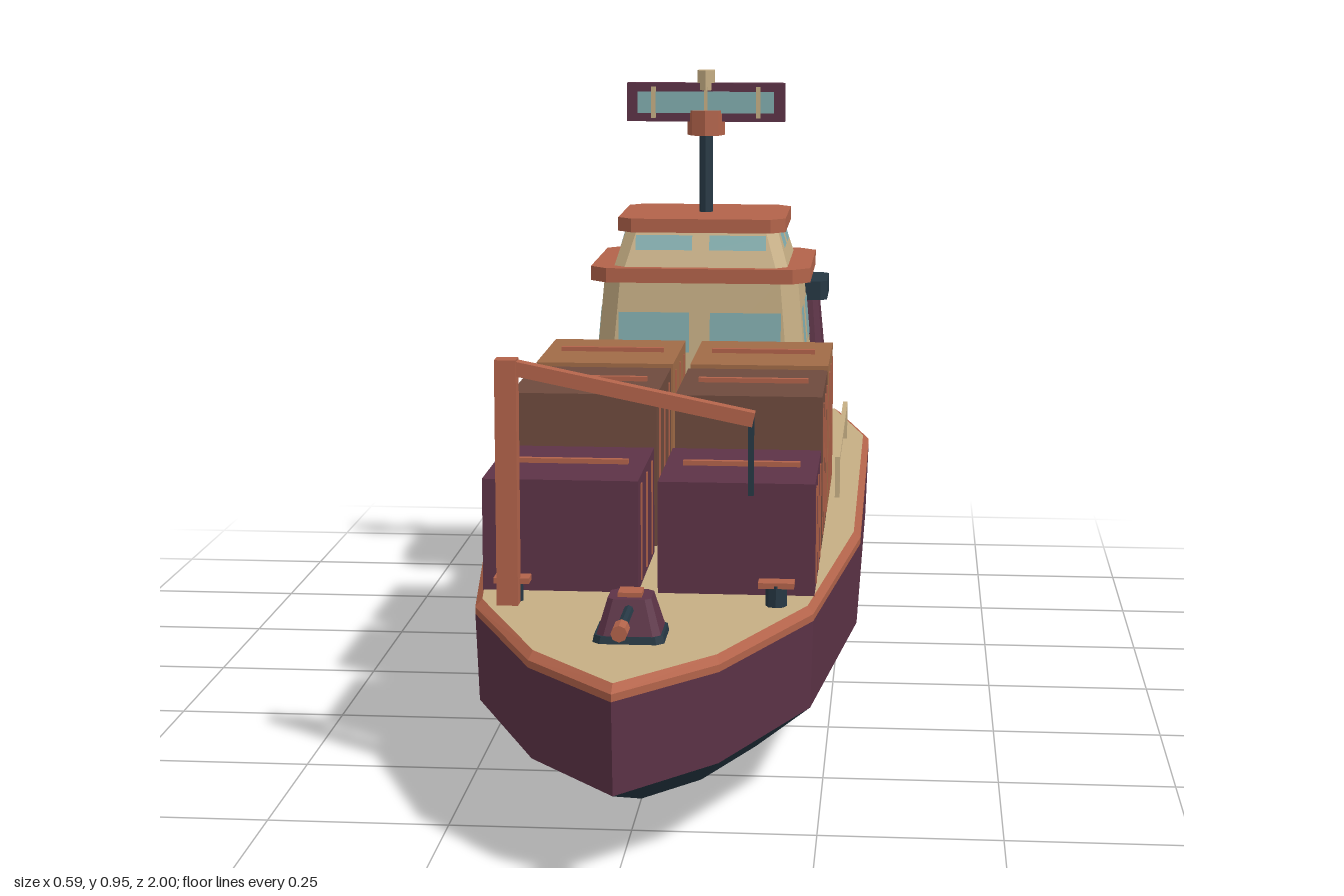
import * as THREE from 'three';

const mat = (name, color, side = THREE.FrontSide) => {
  const m = new THREE.MeshStandardMaterial({ color, flatShading: true, side });
  m.name = name;
  return m;
};

// Flat-shaded loft through horizontal rings; each ring is { y, pts: [[x, z], ...] }
function loft(rings, capBottom = true, capTop = true) {
  const pos = [];
  const v = (r, i) => {
    const p = r.pts[i % r.pts.length];
    return [p[0], r.y, p[1]];
  };
  const n = rings[0].pts.length;
  for (let k = 0; k < rings.length - 1; k++) {
    const lo = rings[k], hi = rings[k + 1];
    for (let i = 0; i < n; i++) {
      pos.push(...v(lo, i), ...v(lo, i + 1), ...v(hi, i + 1));
      pos.push(...v(lo, i), ...v(hi, i + 1), ...v(hi, i));
    }
  }
  const first = rings[0], last = rings[rings.length - 1];
  for (let i = 1; i < n - 1; i++) {
    if (capBottom) pos.push(...v(first, 0), ...v(first, i + 1), ...v(first, i));
    if (capTop) pos.push(...v(last, 0), ...v(last, i), ...v(last, i + 1));
  }
  const g = new THREE.BufferGeometry();
  g.setAttribute('position', new THREE.Float32BufferAttribute(pos, 3));
  g.computeVertexNormals();
  return g;
}

// Rectangle with chamfered corners, as half sizes
const octagon = (hx, hz, c, y) => ({
  y,
  pts: [[hx - c, hz], [hx, hz - c], [hx, c - hz], [hx - c, -hz],
    [c - hx, -hz], [-hx, c - hz], [-hx, hz - c], [c - hx, hz]],
});

export function createModel() {
  const root = new THREE.Group();
  root.name = 'cargoShip';
  const tan = mat('tan', 0xc6ae84);
  const orange = mat('orange', 0xb2634a);
  const purple = mat('purple', 0x5d3347);
  const navy = mat('navy', 0x263844);
  const brown = mat('brown', 0x6e4a3d);
  const rust = mat('rust', 0xa06b47);
  const teal = mat('teal', 0x82adae, THREE.DoubleSide);

  const add = (name, geo, material, x = 0, y = 0, z = 0, parent = root) => {
    const m = new THREE.Mesh(geo, material);
    m.name = name;
    m.position.set(x, y, z);
    parent.add(m);
    return m;
  };
  const box = (name, w, h, d, material, x, y, z, parent) =>
    add(name, new THREE.BoxGeometry(w, h, d), material, x, y, z, parent);
  const group = (name) => {
    const g = new THREE.Group();
    g.name = name;
    root.add(g);
    return g;
  };

  // Hull: one plan outline scaled at each level
  const half = [[0.125, 0.85], [0.237, 0.58], [0.293, 0.1], [0.293, -0.72], [0.23, -1]];
  const outline = [[0, 1], ...half, ...half.map(([x, z]) => [-x, z]).reverse()];
  const level = (y, sx, sz) => ({ y, pts: outline.map(([x, z]) => [x * sx, z * sz]) });
  add('lowerHull', loft([level(0, 0.615, 0.615), level(0.125, 0.985, 0.985)], true, false), navy);
  add('upperHull', loft([level(0.125, 0.985, 0.985), level(0.252, 1, 1)], false, false), purple);
  add('hullRim', loft([level(0.252, 1, 1), level(0.262, 1, 1), level(0.271, 0.965, 0.98)], false, false), orange);
  add('deck', loft([level(0.27, 0.965, 0.98), level(0.271, 0.965, 0.98)], false, true), tan);

  // Cabin, two tapered storeys with overhanging roofs
  const cabin = group('cabin');
  cabin.position.set(0, 0, -0.588);
  const storey = (name, y0, y1, x0, x1, z0, z1, c) => {
    add(name, loft([octagon(x0, z0, c, y0), octagon(x1, z1, c, y1)]), tan, 0, 0, 0, cabin);
    const at = (a, b, y) => a + (b - a) * (y - y0) / (y1 - y0) + 0.002;
    // Window pane lying on the sloped front (axis z) or side (axis x) wall
    return (axis, dir, u0, u1, lo, hi) => {
      const p = (u, y) => axis === 'z' ? [u, y, dir * at(z0, z1, y)] : [dir * at(x0, x1, y), y, u];
      const a = p(u0, lo), b = p(u1, lo), d = p(u1, hi), e = p(u0, hi);
      const flip = (axis === 'z' ? 1 : -1) * dir * (u1 - u0) < 0;
      const tri = flip ? [a, d, b, a, e, d] : [a, b, d, a, d, e];
      const g = new THREE.BufferGeometry();
      g.setAttribute('position', new THREE.Float32BufferAttribute(tri.flat(), 3));
      g.computeVertexNormals();
      add(name + 'Window', g, teal, 0, 0, 0, cabin);
    };
  };
  const lowerPane = storey('lowerCabin', 0.28, 0.59, 0.197, 0.17, 0.169, 0.145, 0.03);
  const upperPane = storey('wheelhouse', 0.612, 0.675, 0.152, 0.133, 0.143, 0.117, 0.02);
  for (const s of [-1, 1]) {
    lowerPane('z', 1, s * 0.018, s * 0.142, 0.465, 0.535);
    upperPane('z', 1, s * 0.015, s * 0.114, 0.642, 0.667);
    lowerPane('x', s, 0.035, 0.108, 0.465, 0.537);
    lowerPane('x', s, -0.108, -0.018, 0.465, 0.537);
    upperPane('x', s, 0.015, 0.085, 0.642, 0.667);
    upperPane('x', s, -0.085, -0.015, 0.642, 0.667);
  }
  add('lowerRoof', loft([octagon(0.192, 0.163, 0.03, 0.588), octagon(0.192, 0.163, 0.03, 0.613)]), orange, 0, 0, 0, cabin);
  add('upperRoof', loft([octagon(0.147, 0.128, 0.025, 0.672), octagon(0.147, 0.128, 0.025, 0.696)]), orange, 0, 0, 0, cabin);

  // Mast with radar panel
  const mast = group('mast');
  mast.position.z = -0.588;
  add('mastPole', new THREE.CylinderGeometry(0.012, 0.012, 0.15, 8), navy, 0, 0.765, 0, mast);
  add('radarHub', new THREE.CylinderGeometry(0.033, 0.033, 0.044, 8), orange, 0, 0.855, 0, mast);
  box('radarPanel', 0.28, 0.068, 0.022, purple, 0, 0.891, 0, mast);
  box('radarFace', 0.242, 0.038, 0.004, teal, 0, 0.891, 0.0115, mast);
  for (const x of [-0.093, 0, 0.093])
    box('radarBar', x ? 0.008 : 0.006, 0.055, 0.005, tan, x, 0.891, 0.013, mast);
  add('mastCap', new THREE.CylinderGeometry(0.017, 0.017, 0.035, 6), tan, 0, 0.93, 0, mast);

  // Funnel and stern vent
  const funnel = group('funnel');
  funnel.position.set(0.152, 0, -0.822);
  add('funnelBody', loft([octagon(0.058, 0.073, 0.012, 0.35), octagon(0.043, 0.05, 0.01, 0.516)]), purple, 0, 0, 0, funnel);
  add('funnelCap', loft([octagon(0.06, 0.068, 0.012, 0.515), octagon(0.06, 0.068, 0.012, 0.55)]), navy, 0, 0, 0, funnel);
  box('sternVent', 0.036, 0.026, 0.02, tan, 0, 0.32, -0.885);

  // Containers in three rows of two, with side ribs and a lid bar
  const rows = [[0.39, 0.432, purple], [0.1, 0.505, brown], [-0.188, 0.505, rust]];
  for (const [z, top, material] of rows) {
    for (const s of [-1, 1]) {
      const c = group('container');
      c.position.set(s * 0.125, 0, z);
      const h = top - 0.268;
      box('containerBody', 0.222, h, 0.248, material, 0, 0.268 + h / 2, 0, c);
      box('lidBar', 0.17, 0.008, 0.01, orange, 0, top + 0.003, 0, c);
      for (const side of [-1, 1])
        for (const dz of [-0.08, 0, 0.08])
          box('sideRib', 0.004, h * 0.86, 0.007, orange, side * 0.111, 0.268 + h / 2, dz, c);
    }
  }

  // Cargo crane
  const crane = group('crane');
  crane.position.z = 0.59;
  box('cranePost', 0.03, 0.35, 0.028, orange, -0.188, 0.442, 0, crane);
  const boom = box('craneBoom', 0.342, 0.02, 0.022, orange, -0.014, 0.572, 0, crane);
  boom.rotation.z = -0.2;
  box('craneCable', 0.008, 0.112, 0.008, navy, 0.15, 0.487, 0, crane);

  // Bow winch with forward spout
  const winch = group('bowWinch');
  winch.position.z = 0.75;
  add('winchBase', loft([octagon(0.048, 0.046, 0.01, 0.27), octagon(0.046, 0.044, 0.01, 0.281)]), navy, 0, 0, 0, winch);
  add('winchBody', loft([octagon(0.043, 0.043, 0.01, 0.28), octagon(0.029, 0.029, 0.008, 0.328)]), purple, 0, 0, 0, winch);
  box('winchHatch', 0.032, 0.008, 0.034, orange, 0, 0.33, 0, winch);
  const tube = (name, r, len, m, z) => {
    add(name, new THREE.CylinderGeometry(r, r, len, 8), m, 0, 0.314, z, winch).rotation.x = Math.PI / 2;
  };
  tube('spout', 0.007, 0.11, navy, 0.075);
  tube('spoutTip', 0.011, 0.034, orange, 0.137);

  // Paired deck fittings: bollards, railings, lamps
  for (const s of [-1, 1]) {
    for (const [x, z] of [[0.185, 0.572], [0.185, -0.715]]) {
      add('bollardPost', new THREE.CylinderGeometry(0.015, 0.015, 0.034, 8), navy, s * x, 0.285, z);
      box('bollardTop', 0.05, 0.008, 0.028, orange, s * x, 0.302, z);
    }
    const rail = group('railing');
    rail.position.x = s * 0.25;
    box('topRail', 0.008, 0.008, 0.524, tan, 0, 0.335, -0.415, rail);
    for (const z of [-0.673, -0.157])
      box('railPost', 0.008, 0.068, 0.008, tan, 0, 0.303, z, rail);
    const lamp = box('deckLamp', 0.03, 0.028, 0.026, s > 0 ? teal : orange, s * 0.207, 0.333, -0.05);
    lamp.rotation.x = 0.15;
  }
  return root;
}
